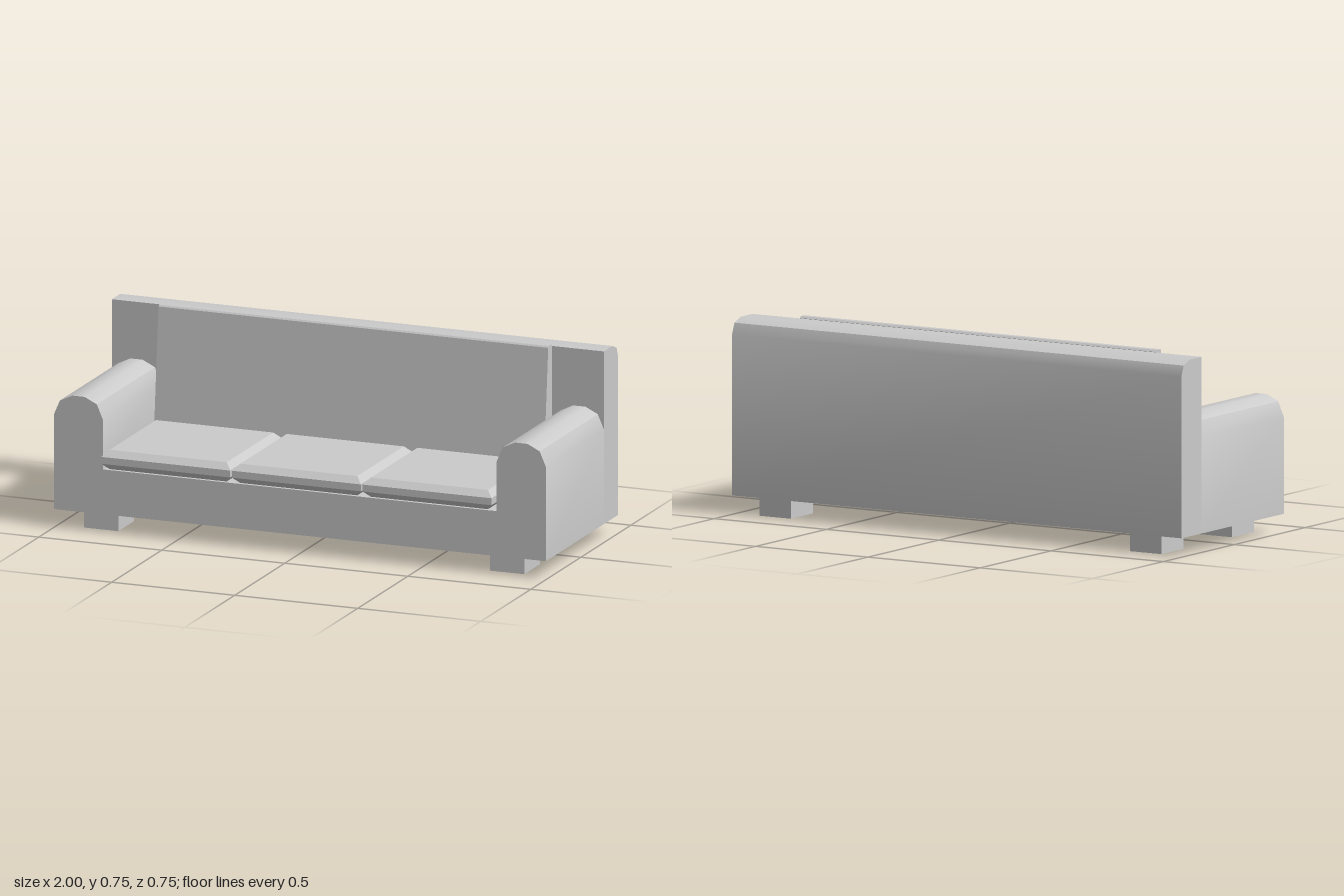
import * as THREE from 'three';
import { toCreasedNormals } from 'three/addons/utils/BufferGeometryUtils.js';

const material = new THREE.MeshStandardMaterial({ color: 0xcccccc });

function add(group, name, geometry) {
  const mesh = new THREE.Mesh(geometry, material);
  mesh.name = name;
  group.add(mesh);
  return mesh;
}

const outline = (points) => new THREE.Shape(points.map(([x, y]) => new THREE.Vector2(x, y)));

// Extrude a profile, smoothing its gentle bends and keeping the sharper ones
function extrude(points, depth) {
  const geometry = new THREE.ExtrudeGeometry(outline(points), { depth, bevelEnabled: false });
  return toCreasedNormals(geometry, 0.55);
}

// Extrude a (z, y) profile across the sofa, centred on x = 0
function extrudeAcross(points, width) {
  const geometry = extrude(points.map(([z, y]) => [-z, y]), width);
  return geometry.rotateY(Math.PI / 2).translate(-width / 2, 0, 0);
}

export function createModel() {
  const sofa = new THREE.Group();
  sofa.name = 'sofa';

  // Base and both rounded arms as one U-shaped section, mirrored about x = 0
  const arm = [
    [0.8, 0.247], [0.8, 0.44], [0.825, 0.498], [0.875, 0.522],
    [0.925, 0.522], [0.975, 0.498], [1, 0.44], [1, 0.072],
  ];
  const section = [
    ...arm.map(([x, y]) => [-x, y]).reverse(),
    ...arm,
  ].reverse();
  add(sofa, 'baseAndArms', extrude(section, 0.58).translate(0, 0, -0.23));

  // Full-width back rest with a rounded rear top edge
  add(sofa, 'backRest', extrudeAcross([
    [-0.23, 0.072], [-0.23, 0.745], [-0.315, 0.745],
    [-0.357, 0.728], [-0.373, 0.687], [-0.373, 0.072],
  ], 2));

  // Sloping back cushion
  add(sofa, 'backCushion', extrudeAcross([
    [-0.145, 0.25], [-0.192, 0.747], [-0.197, 0.753],
    [-0.222, 0.753], [-0.229, 0.746], [-0.229, 0.25],
  ], 1.584)).position.x = -0.003;

  // Three chamfered seat cushions
  const bevel = 0.024, width = 0.524, front = 0.374, rear = -0.138;
  const halfWidth = width / 2 - bevel;
  const cushion = new THREE.ExtrudeGeometry(outline([
    [-halfWidth, -front + bevel], [halfWidth, -front + bevel],
    [halfWidth, -rear - bevel], [-halfWidth, -rear - bevel],
  ]), { depth: 0.027, bevelSize: bevel, bevelThickness: bevel, bevelSegments: 1 });
  cushion.rotateX(-Math.PI / 2).translate(0, 0.275, 0);
  ['right', 'middle', 'left'].forEach((side, i) => {
    add(sofa, side + 'SeatCushion', cushion).position.x = -0.004 + (i - 1) * 0.531;
  });

  // Four block feet
  const foot = new THREE.BoxGeometry(0.14, 0.074, 0.157);
  for (const x of [-0.825, 0.825]) {
    for (const z of [0.2285, -0.2685]) {
      const name = (z > 0 ? 'front' : 'back') + (x > 0 ? 'Left' : 'Right') + 'Foot';
      add(sofa, name, foot).position.set(x, 0.037, z);
    }
  }
  return sofa;
}
